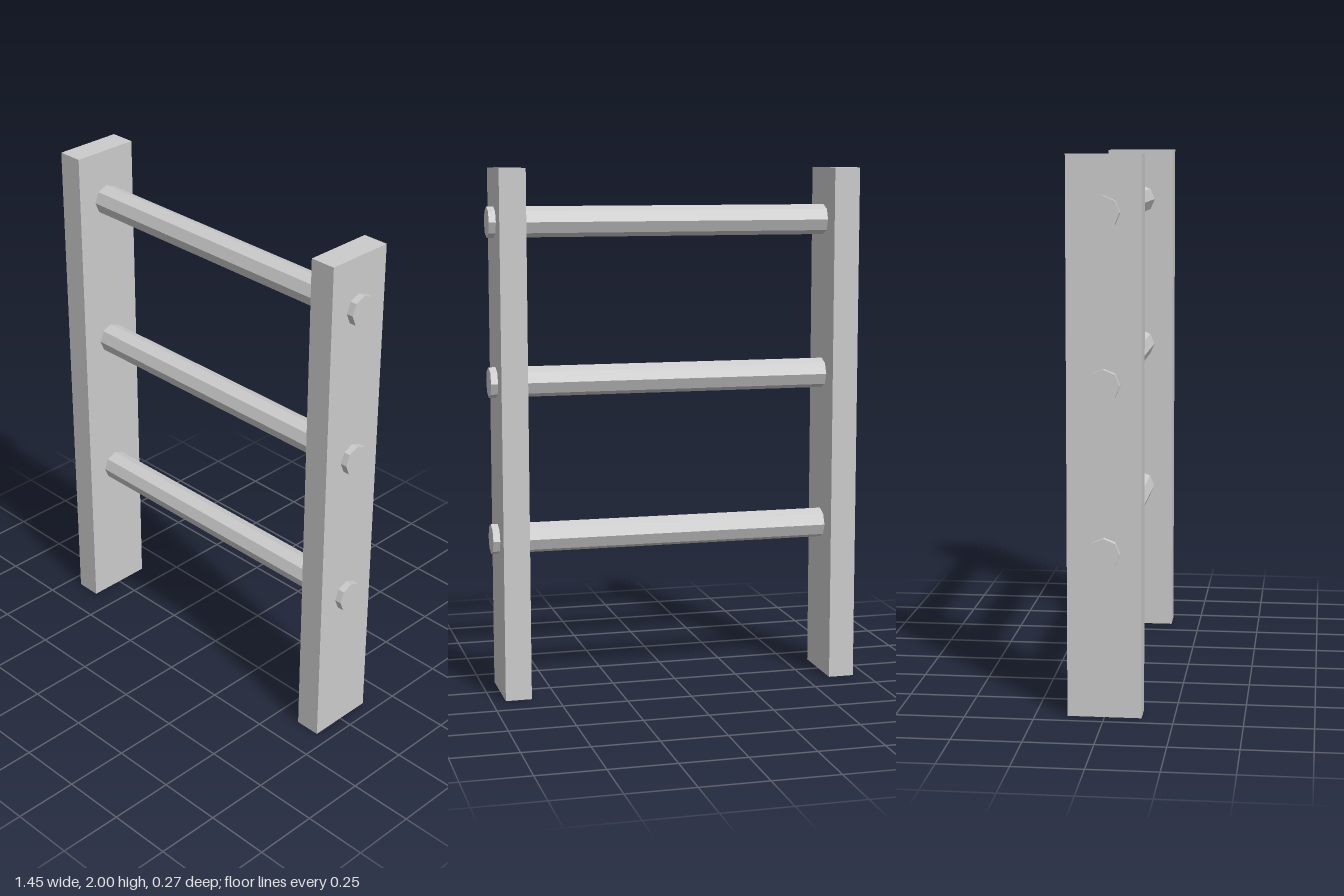
import * as THREE from 'three';

export function createModel() {
  const ladder = new THREE.Group();
  ladder.name = 'ladder';
  const material = new THREE.MeshStandardMaterial({ color: 0xcccccc, flatShading: true });

  const add = (name, geometry, x, y) => {
    const mesh = new THREE.Mesh(geometry, material);
    mesh.name = name;
    mesh.position.set(x, y, 0);
    ladder.add(mesh);
  };

  // Two upright side rails
  const railGeometry = new THREE.BoxGeometry(0.1, 2, 0.267);
  add('leftRail', railGeometry, 0.647, 1);
  add('rightRail', railGeometry, -0.647, 1);

  // Octagonal rungs, poking slightly through both rails
  const rungGeometry = new THREE.CylinderGeometry(0.058, 0.058, 1.447, 8).rotateZ(Math.PI / 2);
  ['lowerRung', 'middleRung', 'upperRung'].forEach((name, i) => add(name, rungGeometry, 0, 0.6 + i * 0.6));

  return ladder;
}
